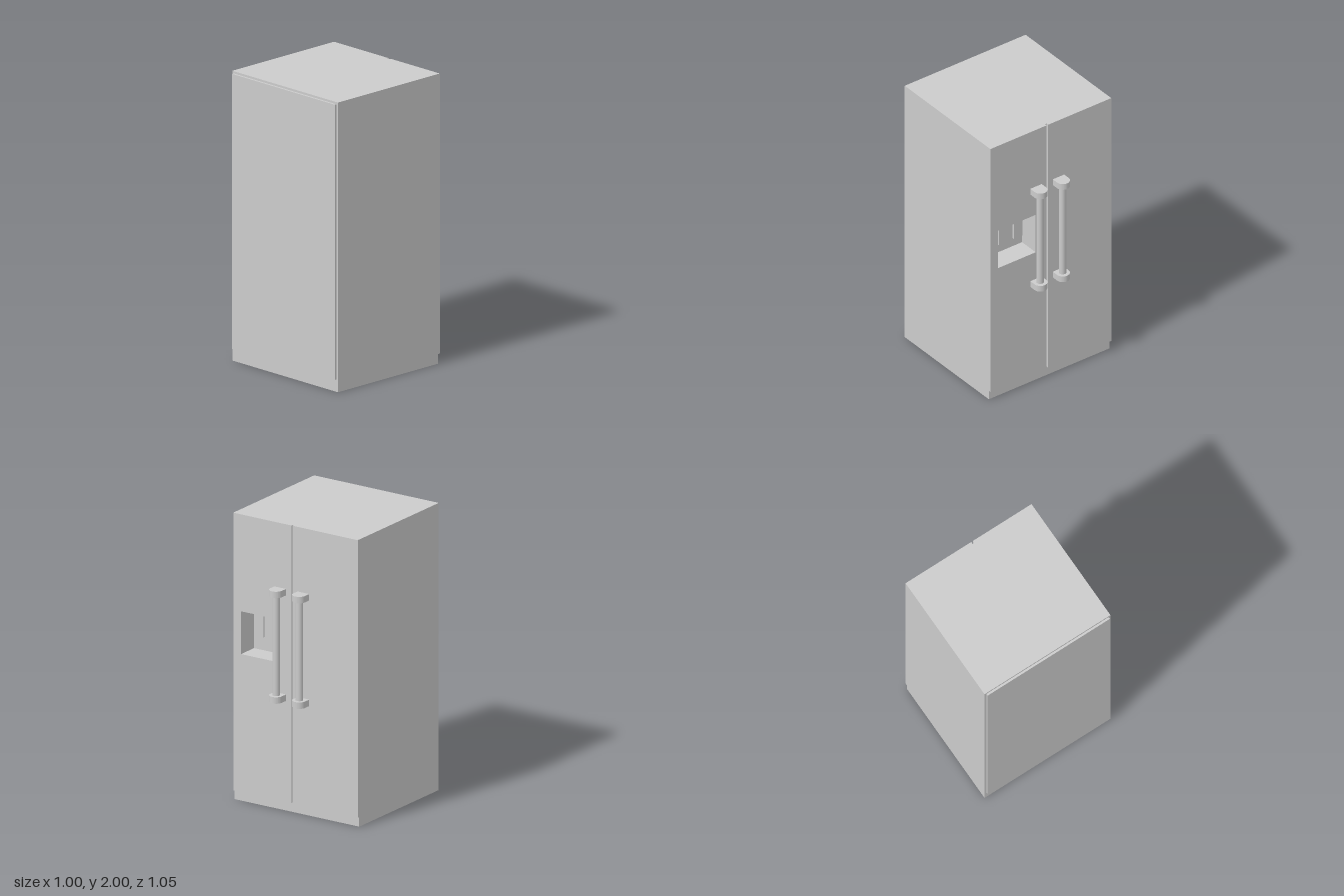
import * as THREE from 'three';

const material = new THREE.MeshStandardMaterial({ color: 0xcccccc });

function addMesh(parent, name, geometry, x = 0, y = 0, z = 0) {
  const mesh = new THREE.Mesh(geometry, material);
  mesh.name = name;
  mesh.position.set(x, y, z);
  parent.add(mesh);
  return mesh;
}

// Box given by its minimum and maximum corners
function addBox(parent, name, [x0, y0, z0], [x1, y1, z1]) {
  const geometry = new THREE.BoxGeometry(x1 - x0, y1 - y0, z1 - z0);
  return addMesh(parent, name, geometry, (x0 + x1) / 2, (y0 + y1) / 2, (z0 + z1) / 2);
}

function rectangle(path, x0, y0, x1, y1) {
  path.moveTo(x0, y0).lineTo(x1, y0).lineTo(x1, y1).lineTo(x0, y1).closePath();
  return path;
}

// Upright slab from z0 to z1, with an optional rectangular opening
function addSlab(parent, name, rect, z0, z1, opening) {
  const shape = rectangle(new THREE.Shape(), ...rect);
  if (opening) shape.holes.push(rectangle(new THREE.Path(), ...opening));
  const geometry = new THREE.ExtrudeGeometry(shape, { depth: z1 - z0, bevelEnabled: false });
  return addMesh(parent, name, geometry, 0, 0, z0);
}

// Bar handle held by a round-nosed bracket at each end
function createHandle(x) {
  const handle = new THREE.Group();
  handle.name = 'handle';
  handle.position.x = x;

  const r = 0.047, thickness = 0.045;
  const outline = new THREE.Shape();
  outline.moveTo(-r, 0.42).lineTo(r, 0.42).lineTo(r, 0.478);
  outline.absarc(0, 0.478, r, 0, Math.PI, false);
  outline.closePath();
  const bracket = new THREE.ExtrudeGeometry(outline, {
    depth: thickness, bevelEnabled: false, curveSegments: 16,
  });
  bracket.rotateX(-Math.PI / 2);
  for (const y of [0.77, 1.505]) addMesh(handle, 'handleBracket', bracket, 0, y, 0);

  const bar = new THREE.CylinderGeometry(0.025, 0.025, 0.7, 24);
  addMesh(handle, 'handleBar', bar, 0, 1.16, -0.475);
  return handle;
}

export function createModel() {
  const model = new THREE.Group();
  model.name = 'refrigerator';

  const recess = [0.125, 1.027, 0.437, 1.325];
  const recessBack = -0.28, bodyFront = -0.413, doorFront = -0.43;

  // Cabinet, its pierced door side and the raised panel on the opposite side
  addBox(model, 'cabinet', [-0.5, 0, recessBack], [0.5, 2, 0.508]);
  addSlab(model, 'cabinetDoorSide', [-0.5, 0, 0.5, 2], bodyFront, recessBack, recess);
  addBox(model, 'rearPanel', [-0.485, 0.085, 0.5], [0.485, 1.985, 0.523]);

  // Two doors with a narrow gap, above the set-back plinth
  addSlab(model, 'narrowDoor', [0.034, 0.067, 0.5, 2], doorFront, bodyFront, recess);
  addSlab(model, 'wideDoor', [-0.5, 0.067, 0.022, 2], doorFront, bodyFront);

  // Dispenser paddles hanging inside the recess
  for (const x of [0.182, 0.307]) {
    addBox(model, 'dispenserPaddle', [x, 1.147, -0.36], [x + 0.07, 1.325, -0.345]);
  }

  for (const x of [-0.063, 0.123]) model.add(createHandle(x));
  return model;
}
